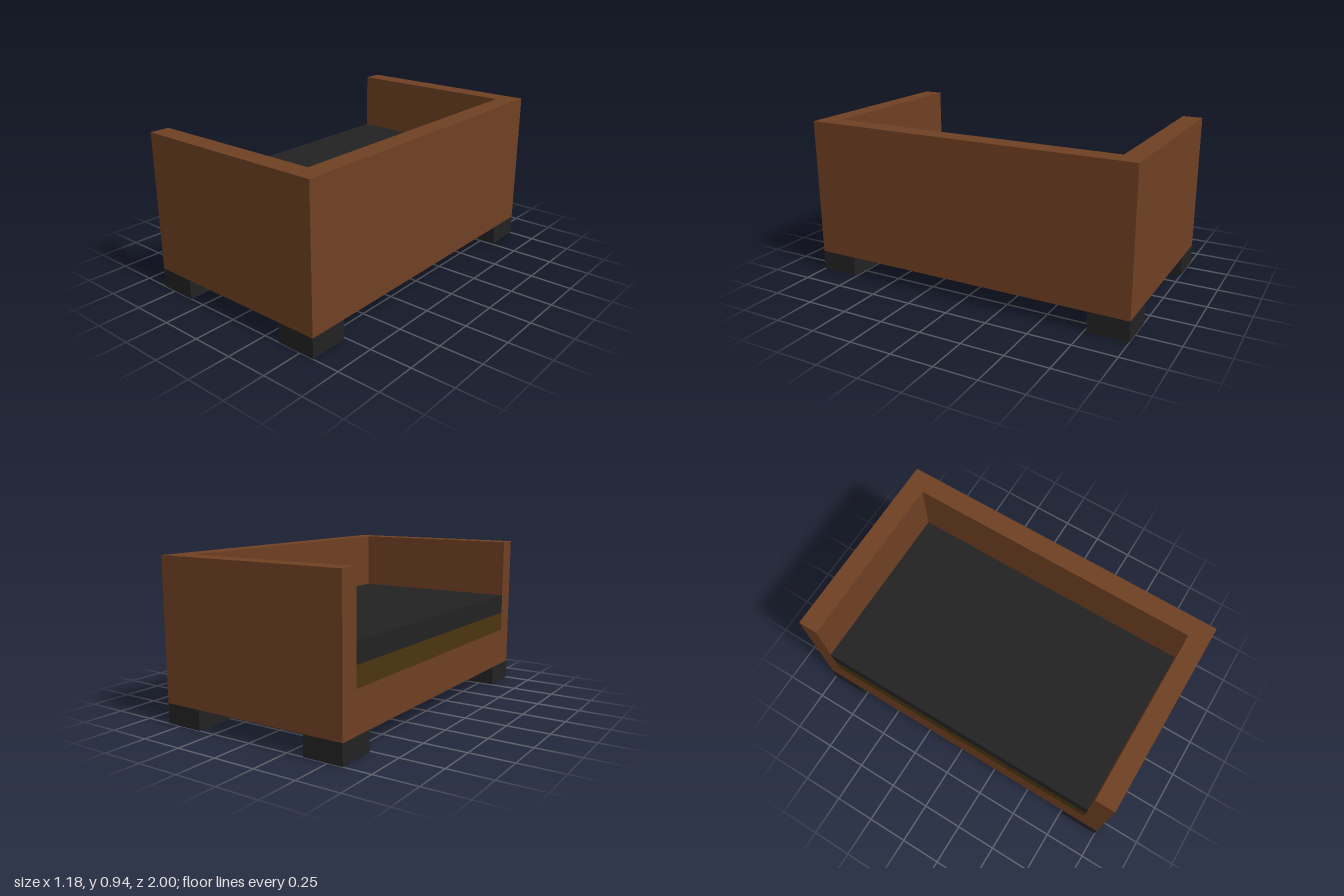
import * as THREE from 'three';

// Everything sits on a coarse module: 17 long, 10 deep, 8 high
const U = 2 / 17;
const L = 17, D = 10, H = 8;

export function createModel() {
  const model = new THREE.Group();
  model.name = 'sofa';

  const mat = (name, color) => {
    const m = new THREE.MeshStandardMaterial({ color });
    m.name = name;
    return m;
  };
  const brown = mat('brown leather', 0x6f4023);
  const black = mat('black', 0x222222);
  const olive = mat('dark olive', 0x4a350f);

  // Box given by its lower corner and size, in modules
  const box = (name, material, [x, y, z], [w, h, d]) => {
    const mesh = new THREE.Mesh(new THREE.BoxGeometry(w * U, h * U, d * U), material);
    mesh.position.set((x + w / 2) * U, (y + h / 2) * U, (z + d / 2) * U);
    mesh.name = name;
    model.add(mesh);
  };

  // U-shaped shell: backrest on +x with an arm at each end, open towards -x
  const x = D / 2, z = L / 2;
  const outline = [
    [-x, -z], [x, -z], [x, z], [-x, z],
    [-x, z - 1], [x - 1, z - 1], [x - 1, -z + 1], [-x, -z + 1],
  ];
  const shape = new THREE.Shape(outline.map(([a, b]) => new THREE.Vector2(a * U, b * U)));
  const shellGeo = new THREE.ExtrudeGeometry(shape, { depth: (H - 1) * U, bevelEnabled: false });
  shellGeo.rotateX(-Math.PI / 2);
  const shell = new THREE.Mesh(shellGeo, brown);
  shell.position.y = U;
  shell.name = 'backrestAndArms';
  model.add(shell);

  // Layers filling the shell
  const inner = (h) => [D - 1, h, L - 2];
  box('base', brown, [-x, 1, -z + 1], inner(2));
  box('seatSupport', olive, [-x, 3, -z + 1], inner(1));
  box('seatCushion', black, [-x, 4, -z + 1], inner(1));

  // Square feet flush with the corners
  for (const fx of [-x, x - 2]) {
    for (const fz of [-z, z - 2]) box('foot', black, [fx, 0, fz], [2, 1, 2]);
  }

  return model;
}
